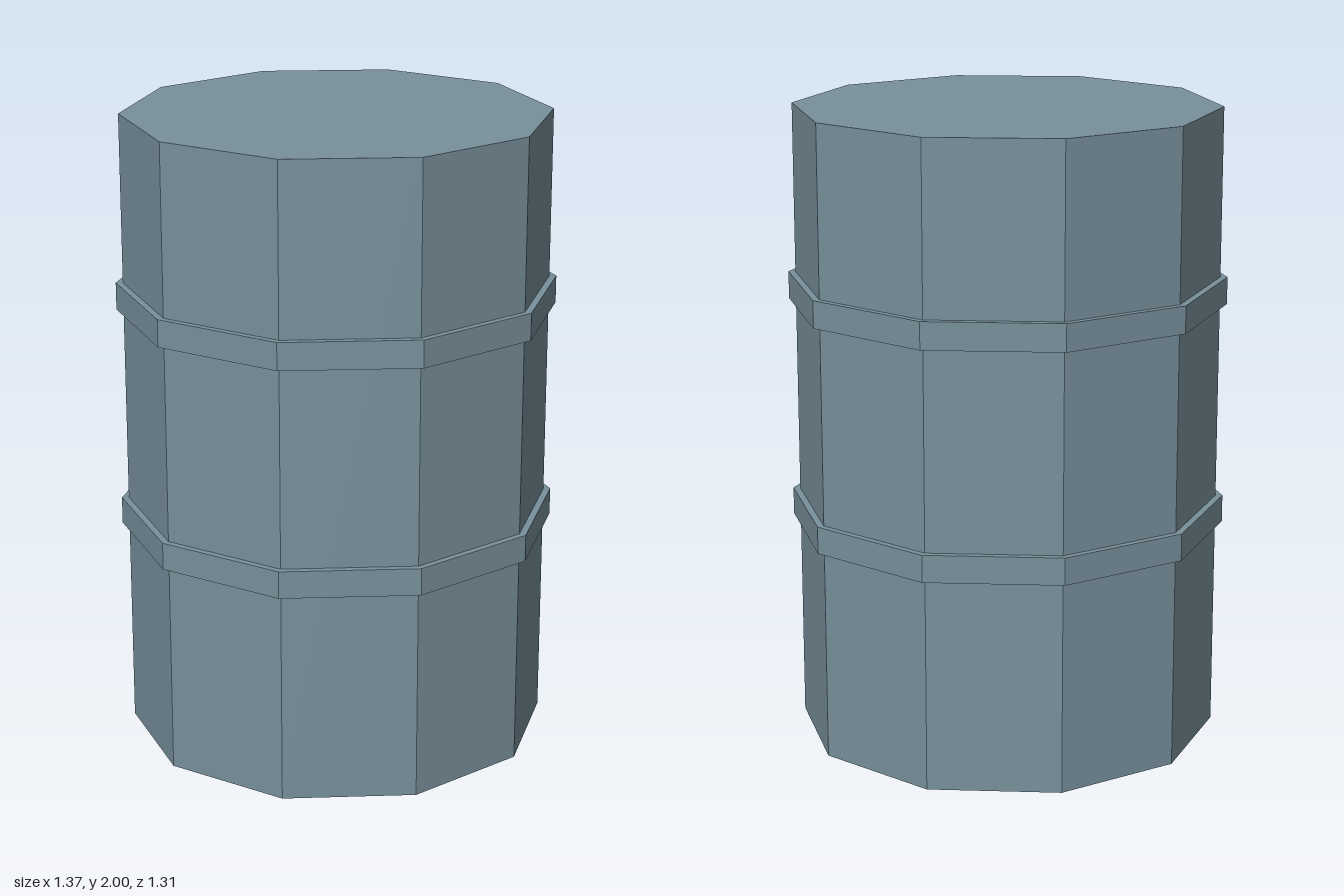
import * as THREE from 'three';

const SIDES = 10;

export function createModel() {
  const model = new THREE.Group();
  model.name = 'barrel';
  const steel = new THREE.MeshStandardMaterial({ color: 0x78909c, flatShading: true });
  steel.name = 'blueGreySteel';

  // Ten-sided prism with corners on the x axis
  const addPrism = (name, radius, bottom, top) => {
    const geometry = new THREE.CylinderGeometry(radius, radius, top - bottom, SIDES, 1, false, Math.PI / SIDES);
    const mesh = new THREE.Mesh(geometry, steel);
    mesh.name = name;
    mesh.position.y = (bottom + top) / 2;
    model.add(mesh);
  };

  // Drum body with flat lid and base
  addPrism('body', 0.665, 0, 2);

  // Two raised hoops
  addPrism('lowerHoop', 0.687, 0.672, 0.758);
  addPrism('upperHoop', 0.687, 1.382, 1.468);

  return model;
}
